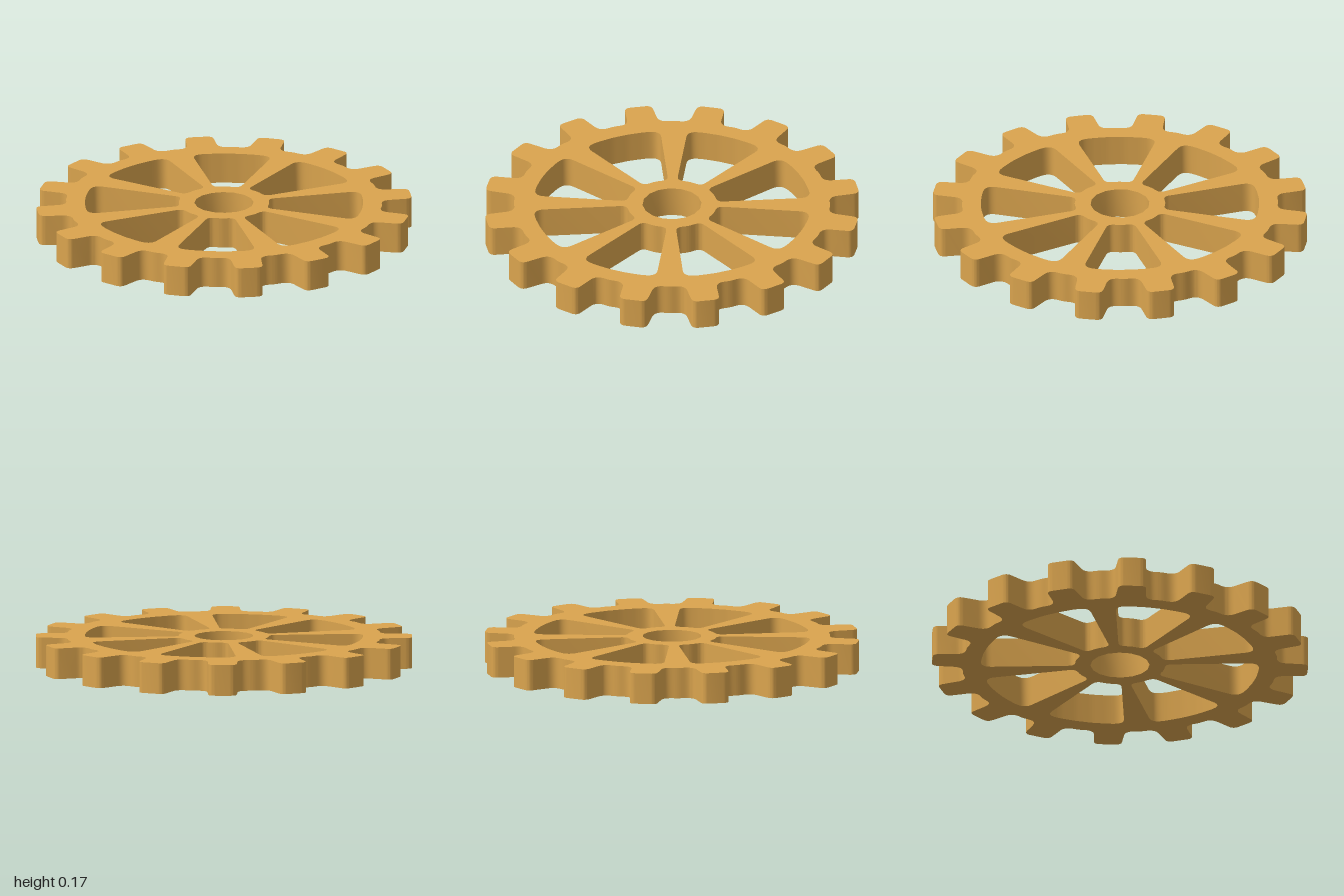
import * as THREE from 'three';
import { toCreasedNormals } from 'three/addons/utils/BufferGeometryUtils.js';

const TEETH = 16, WINDOWS = 8, HEIGHT = 0.165;

// Point from radius and angle in degrees
const polar = (r, deg) => new THREE.Vector2(
  r * Math.cos(THREE.MathUtils.degToRad(deg)),
  r * Math.sin(THREE.MathUtils.degToRad(deg)));

// Closed outline whose corners [point, trim] are rounded off by the trim length
function roundedOutline(path, corners) {
  const n = corners.length;
  corners.forEach(([p, trim], i) => {
    const toward = (q) => q.clone().sub(p).setLength(trim).add(p);
    const a = toward(corners[(i + n - 1) % n][0]);
    const b = toward(corners[(i + 1) % n][0]);
    if (i === 0) path.moveTo(a.x, a.y);
    else path.lineTo(a.x, a.y);
    path.quadraticCurveTo(p.x, p.y, b.x, b.y);
  });
  path.closePath();
  return path;
}

// Toothed rim: each tooth takes half the pitch and tapers to its tip
function toothedOutline() {
  const pitch = 360 / TEETH, corners = [];
  for (let i = 0; i < TEETH; i++) {
    const mid = (i + 0.25) * pitch;
    corners.push(
      [polar(0.835, mid - 5.7), 0.05],
      [polar(1.002, mid - 4.2), 0.035],
      [polar(1.002, mid + 4.2), 0.035],
      [polar(0.835, mid + 5.7), 0.05],
      [polar(0.842, mid + pitch / 2), 0.02]);
  }
  return roundedOutline(new THREE.Shape(), corners);
}

// Opening between two spokes: radial sides, curved inner and outer edges
function windowOutline(start) {
  const span = 33.75, outer = 0.74, inner = 0.242;
  const corners = [[polar(inner, start), 0.035], [polar(outer, start), 0.06]];
  for (const t of [0.2, 0.4, 0.6, 0.8]) corners.push([polar(outer, start + span * t), 0.02]);
  corners.push(
    [polar(outer, start + span), 0.06],
    [polar(inner, start + span), 0.035],
    [polar(inner, start + span / 2), 0.02]);
  return roundedOutline(new THREE.Path(), corners);
}

export function createModel() {
  const shape = toothedOutline();

  // Spoke openings
  for (let i = 0; i < WINDOWS; i++) shape.holes.push(windowOutline(i * 360 / WINDOWS));

  // Axle bore
  shape.holes.push(new THREE.Path().absarc(0, 0, 0.157, 0, Math.PI * 2, true));

  const geometry = new THREE.ExtrudeGeometry(shape, {
    depth: HEIGHT, bevelEnabled: false, curveSegments: 8,
  });
  geometry.rotateX(-Math.PI / 2);

  const gear = new THREE.Mesh(
    toCreasedNormals(geometry, 0.6),
    new THREE.MeshStandardMaterial({ color: 0xdaa44e }));
  gear.name = 'spokedGearWheel';

  const group = new THREE.Group();
  group.name = 'gear';
  group.add(gear);
  return group;
}
